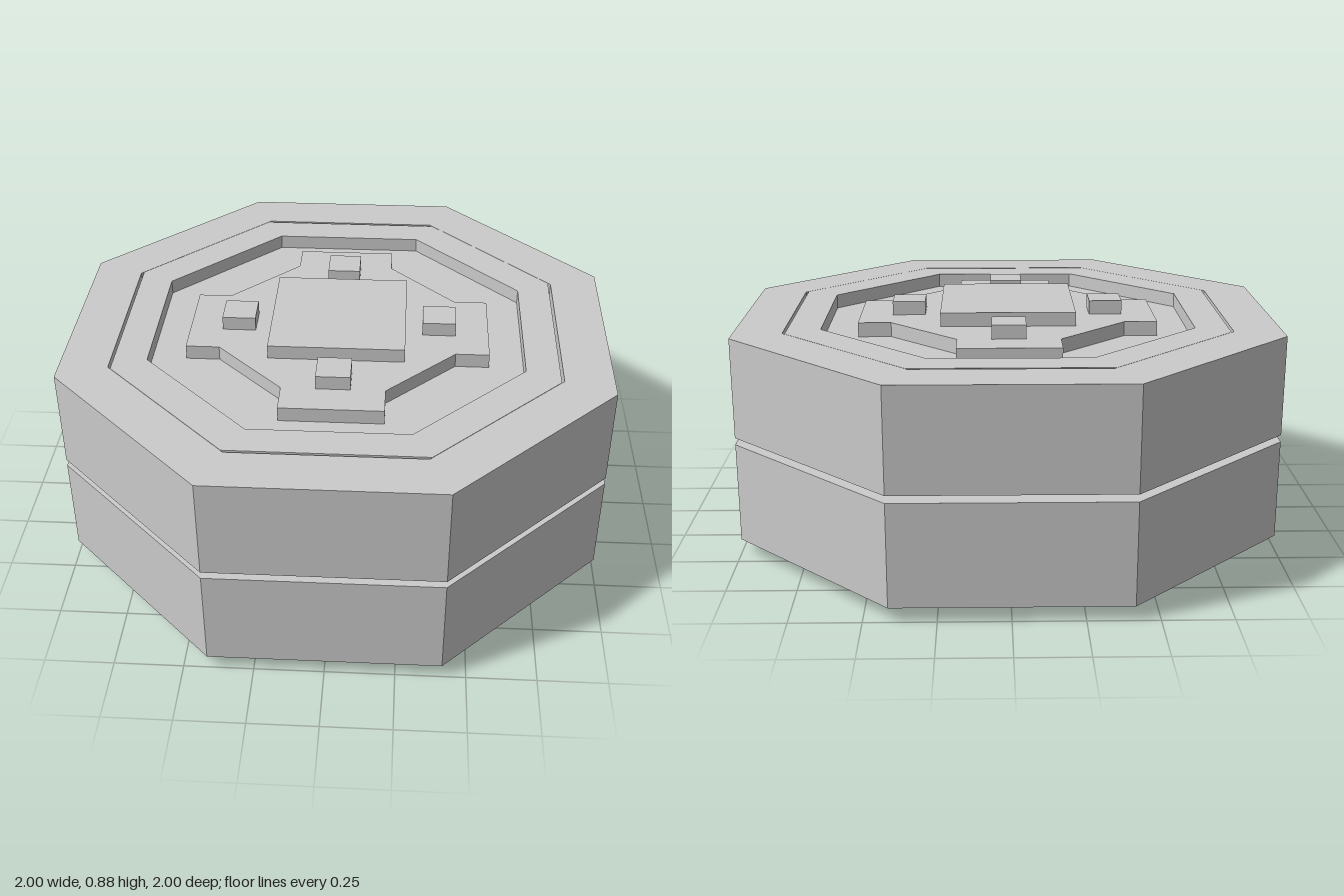
import * as THREE from 'three';

const material = new THREE.MeshStandardMaterial({ color: 0xcccccc, flatShading: true });

// Octagon corners: flat sides at distance r, chamfers where |x| + |z| = r + c
const octagon = (r, c) =>
  [[c, r], [-c, r], [-r, c], [-r, -c], [-c, -r], [c, -r], [r, -c], [r, c]]
    .map(([x, y]) => new THREE.Vector2(x, y));

// Upright prism centred on y = 0, with an optional hole
function prism(name, points, halfHeight, hole) {
  const shape = new THREE.Shape(points);
  if (hole) shape.holes.push(new THREE.Path(hole));
  const geometry = new THREE.ExtrudeGeometry(shape, { depth: 2 * halfHeight, bevelEnabled: false });
  geometry.translate(0, 0, -halfHeight).rotateX(-Math.PI / 2);
  const mesh = new THREE.Mesh(geometry, material);
  mesh.name = name;
  return mesh;
}

function box(name, size, halfHeight, x = 0, z = 0) {
  const mesh = new THREE.Mesh(new THREE.BoxGeometry(size, 2 * halfHeight, size), material);
  mesh.name = name;
  mesh.position.set(x, 0, z);
  return mesh;
}

// Cross outline with chamfered inner corners, one quarter turned four times
function crossOutline() {
  const points = [];
  for (let i = 0; i < 4; i++) {
    for (const [x, y] of [[0.56, 0.186], [0.436, 0.186], [0.186, 0.436], [0.186, 0.56]]) {
      points.push(new THREE.Vector2(x, y).rotateAround(new THREE.Vector2(), i * Math.PI / 2));
    }
  }
  return points;
}

// One disc, the same on its upper and lower face
function createDisc(name, y) {
  const disc = new THREE.Group();
  disc.name = name;
  disc.position.y = y;
  const rim = 0.187, floor = 0.133, stud = 0.239;

  // Rim and hub ring, with a hairline gap between them
  disc.add(prism('outerRim', octagon(1, 0.414), rim, octagon(0.82, 0.342)));
  disc.add(prism('hubRing', octagon(0.81, 0.35), rim, octagon(0.687, 0.284)));

  // Recessed floor and the cross flush with the rim
  disc.add(prism('recessFloor', octagon(0.687, 0.284), floor));
  disc.add(prism('crossPlate', crossOutline(), rim));

  // Raised centre pad and four studs
  disc.add(box('centrePad', 0.5, stud));
  for (const [x, z] of [[1, 0], [-1, 0], [0, 1], [0, -1]]) {
    disc.add(box('stud', 0.124, stud, x * 0.375, z * 0.375));
  }
  return disc;
}

export function createModel() {
  const model = new THREE.Group();
  model.name = 'stackedDiscs';
  model.add(createDisc('lowerDisc', 0.239), createDisc('upperDisc', 0.639));
  return model;
}
